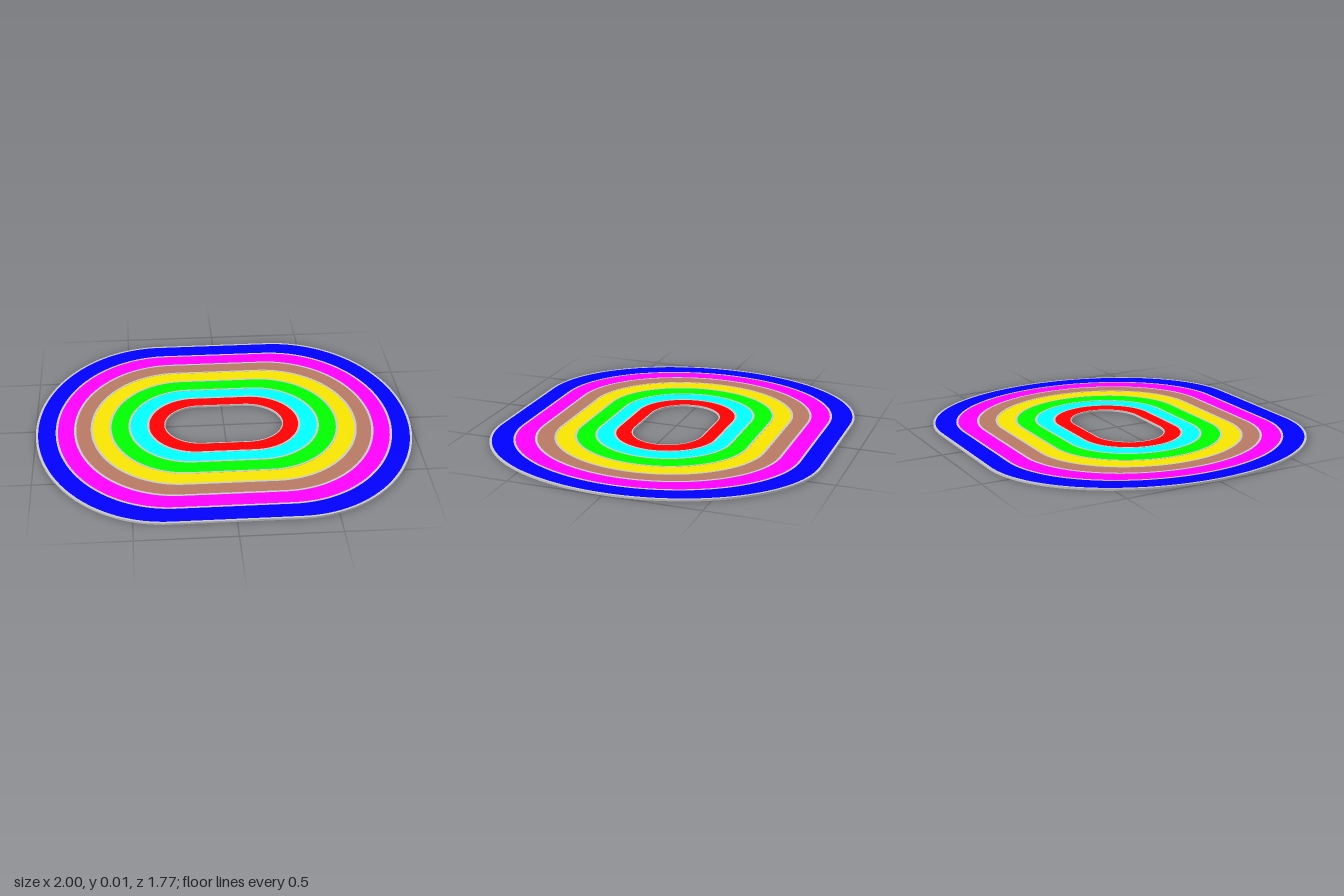
import * as THREE from 'three';

// Lane boundaries from the infield outward: [half length in x, half width in z]
const EDGES = [
  [0.313, 0.188], [0.405, 0.274], [0.504, 0.363], [0.606, 0.463],
  [0.705, 0.561], [0.793, 0.656], [0.89, 0.762], [0.994, 0.879],
];
const LANES = [
  ['red', 0xff0000], ['cyan', 0x00ffff], ['green', 0x00ff00], ['yellow', 0xf8e600],
  ['brown', 0xb87a65], ['magenta', 0xff00ff], ['blue', 0x0000ff],
];
const LINE = 0.006; // half the width of a painted line

// Oval: two straights joined by half ellipses
function oval(path, [a, b], grow) {
  const s = 0.12 + 0.2 * (a - 0.313) / 0.687; // half length of the straight
  const rx = a + grow - s, rz = b + grow;
  path.moveTo(-s, -rz);
  path.lineTo(s, -rz);
  path.absellipse(s, 0, rx, rz, -Math.PI / 2, Math.PI / 2, false, 0);
  path.lineTo(-s, rz);
  path.absellipse(-s, 0, rx, rz, Math.PI / 2, Math.PI * 1.5, false, 0);
  return path;
}

// Flat ring between two ovals, lying on the ground
function ring(name, inner, innerGrow, outer, outerGrow, height, color) {
  const shape = oval(new THREE.Shape(), outer, outerGrow);
  shape.holes.push(oval(new THREE.Path(), inner, innerGrow));
  const geometry = new THREE.ExtrudeGeometry(shape, {
    depth: height, bevelEnabled: false, curveSegments: 32,
  });
  geometry.rotateX(-Math.PI / 2);
  const mesh = new THREE.Mesh(geometry, new THREE.MeshStandardMaterial({ color }));
  mesh.name = name;
  return mesh;
}

export function createModel() {
  const track = new THREE.Group();
  track.name = 'runningTrack';

  // Coloured lanes
  LANES.forEach(([name, color], i) => {
    track.add(ring(`${name}Lane`, EDGES[i], LINE, EDGES[i + 1], -LINE, 0.009, color));
  });

  // Grey lines along every lane boundary
  EDGES.forEach((edge, i) => {
    track.add(ring(`laneLine${i + 1}`, edge, i ? -LINE : 0, edge, LINE, 0.01, 0xcccccc));
  });

  return track;
}
